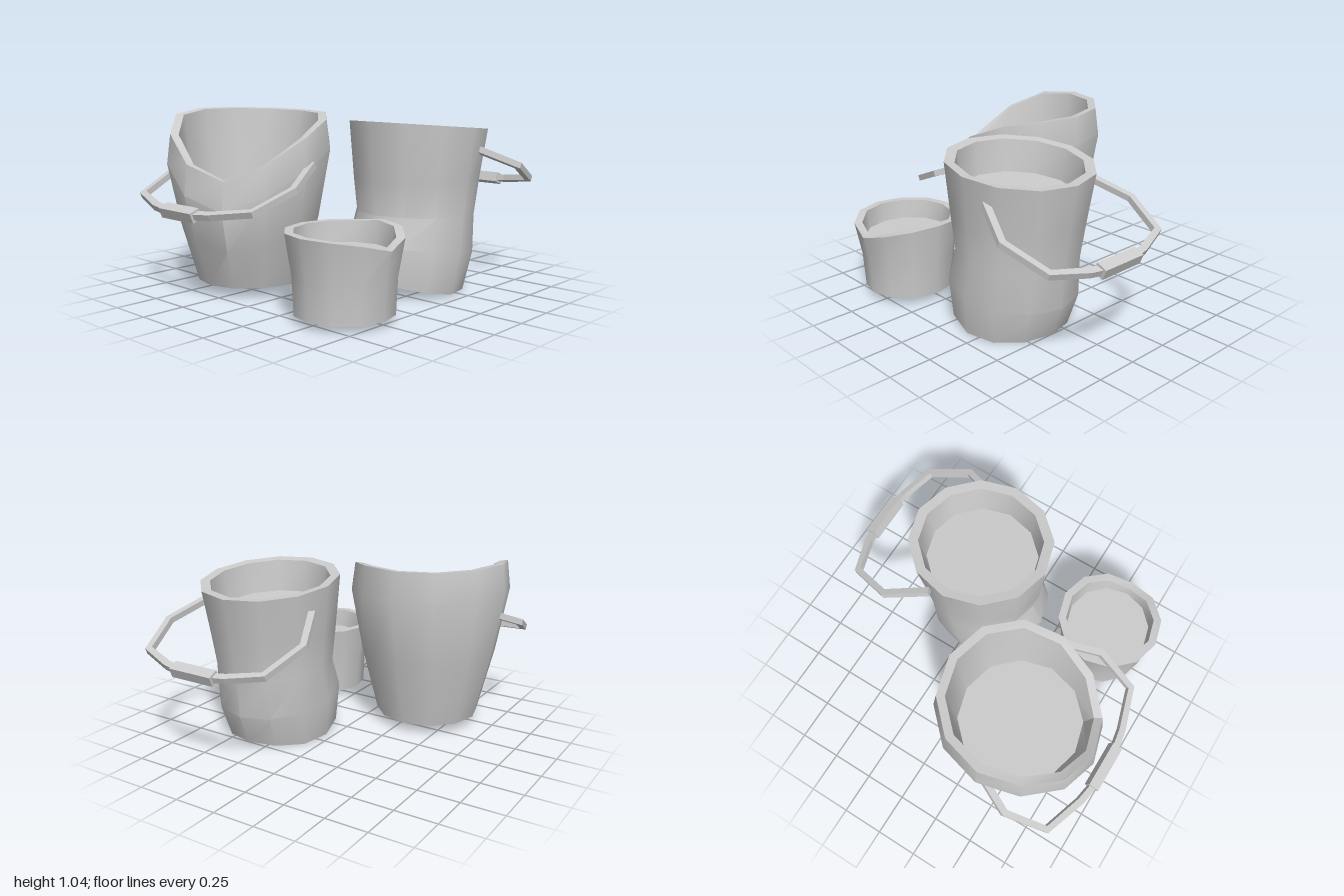
import * as THREE from 'three';
import { toCreasedNormals } from 'three/addons/utils/BufferGeometryUtils.js';

const SIDES = 12;
const material = new THREE.MeshStandardMaterial({ color: 0xcccccc });

// Skin over rings; each ring is a function (angle, index) -> [x, y, z].
// Runs from the underside, up the outside, over the rim and down to the inner floor.
function skin(name, rings) {
  const pos = [], index = [];
  for (const ring of rings)
    for (let i = 0; i < SIDES; i++) pos.push(...ring((i / SIDES) * Math.PI * 2, i));
  for (let r = 0; r < rings.length - 1; r++)
    for (let i = 0; i < SIDES; i++) {
      const j = (i + 1) % SIDES;
      const a = r * SIDES + i, b = r * SIDES + j, c = a + SIDES, d = b + SIDES;
      if (r > 0) index.push(a, c, b);
      if (r < rings.length - 2) index.push(b, c, d);
    }
  // the first and last rings collapse to a point, so their half of each quad is skipped
  const geo = new THREE.BufferGeometry();
  geo.setAttribute('position', new THREE.Float32BufferAttribute(pos, 3));
  geo.setIndex(index);
  const mesh = new THREE.Mesh(toCreasedNormals(geo, 0.6), material);
  mesh.name = name;
  return mesh;
}

// Round ring about (cx, cz); the height may vary with the vertex index
const ringAt = (cx, cz) => (r, y) => (a, i) =>
  [cx + r * Math.cos(a), typeof y === 'function' ? y(i) : y, cz + r * Math.sin(a)];

// Tilted oval ring between a left end and a right end
const tilted = (x0, y0, x1, y1, rz, sag = 0) => (a) => {
  const c = Math.cos(a), t = (c + 1) / 2;
  return [x0 + (x1 - x0) * t, y0 + (y1 - y0) * t - sag * (1 - c * c), 0.36 + rz * Math.sin(a)];
};

// Flat angular bail lying in a tilted plane, with a square grip at its far end
function bail(name, pivot, dir, half) {
  const group = new THREE.Group();
  group.name = name;
  const path = [...half, ...half.slice().reverse().map(([u, w]) => [u, -w])]
    .map(([u, w]) => new THREE.Vector2(u, w));
  const offset = (d) => path.map((p, i) => {
    const t = path[Math.min(i + 1, path.length - 1)].clone().sub(path[Math.max(i - 1, 0)]).normalize();
    return new THREE.Vector2(p.x - t.y * d, p.y + t.x * d);
  });
  const shape = new THREE.Shape([...offset(0.02), ...offset(-0.02).reverse()]);
  const geo = new THREE.ExtrudeGeometry(shape, { depth: 0.036, bevelEnabled: false });
  geo.translate(0, 0, -0.018);
  const bar = new THREE.Mesh(geo, material);
  bar.name = 'handleBar';
  const grip = new THREE.Mesh(new THREE.BoxGeometry(0.065, 0.28, 0.06), material);
  grip.name = 'handleGrip';
  grip.position.x = half[half.length - 1][0];
  group.add(bar, grip);
  const X = new THREE.Vector3(...dir).normalize(), Y = new THREE.Vector3(0, 0, 1);
  const Z = new THREE.Vector3().crossVectors(X, Y);
  group.applyMatrix4(new THREE.Matrix4().makeBasis(X, Y, Z).setPosition(...pivot));
  return group;
}

export function createModel() {
  const model = new THREE.Group();
  model.name = 'buckets';

  // Large bucket with a rim that sinks on one side
  const rimY = [1.035, 1.03, 1.0, 0.91, 0.78, 0.69, 0.77, 0.92, 1.02, 1.045, 1.045, 1.04];
  const big = ringAt(-0.43, -0.33);
  const large = new THREE.Group();
  large.name = 'largeBucket';
  large.add(
    skin('largeBucketBody', [
      big(0, 0.065), big(0.315, 0.065),
      big(0.41, (i) => 0.06 + (rimY[i] - 0.23) * 0.5),
      big(0.48, (i) => rimY[i] - 0.17),
      big(0.458, (i) => rimY[i]),
      big(0.41, (i) => rimY[i] - 0.005),
      big(0.36, 0.6), big(0, 0.6),
    ]),
    bail('largeBucketHandle', [-0.38, 0.76, -0.295], [-0.59, -0.245, 0],
      [[0, 0.425], [0.27, 0.54], [0.53, 0.48], [0.615, 0.24], [0.635, 0.13]]),
  );

  // Medium bucket, squashed and leaning
  const medium = new THREE.Group();
  medium.name = 'mediumBucket';
  medium.add(
    skin('mediumBucketBody', [
      tilted(0.18, 0.03, 0.18, 0.03, 0),
      tilted(-0.165, 0.1, 0.52, 0.02, 0.325, 0.045),
      tilted(-0.18, 0.31, 0.59, 0.2, 0.36),
      tilted(-0.11, 0.47, 0.6, 0.44, 0.345),
      tilted(-0.14, 0.66, 0.645, 0.68, 0.365),
      tilted(-0.16, 1.0, 0.69, 0.925, 0.4),
      tilted(-0.1, 0.99, 0.63, 0.925, 0.345),
      tilted(-0.08, 0.8, 0.59, 0.75, 0.32),
      tilted(0.255, 0.775, 0.255, 0.775, 0),
    ]),
    bail('mediumBucketHandle', [0.38, 0.83, 0.345], [0.6, -0.25, 0],
      [[0, 0.36], [0.27, 0.475], [0.54, 0.4], [0.615, 0.2], [0.63, 0.12]]),
  );

  // Small pot with a dip in the front of its rim
  const small = ringAt(-0.555, 0.535);
  const lip = (i) => [0.49, 0.48, 0.45, 0.41, 0.45, 0.47][i] ?? 0.475;
  const pot = skin('smallPot', [
    small(0, 0.045), small(0.27, 0.045),
    small(0.28, 0.25),
    small(0.315, lip),
    small(0.268, lip),
    small(0.255, 0.36), small(0, 0.36),
  ]);

  model.add(large, medium, pot);
  return model;
}
